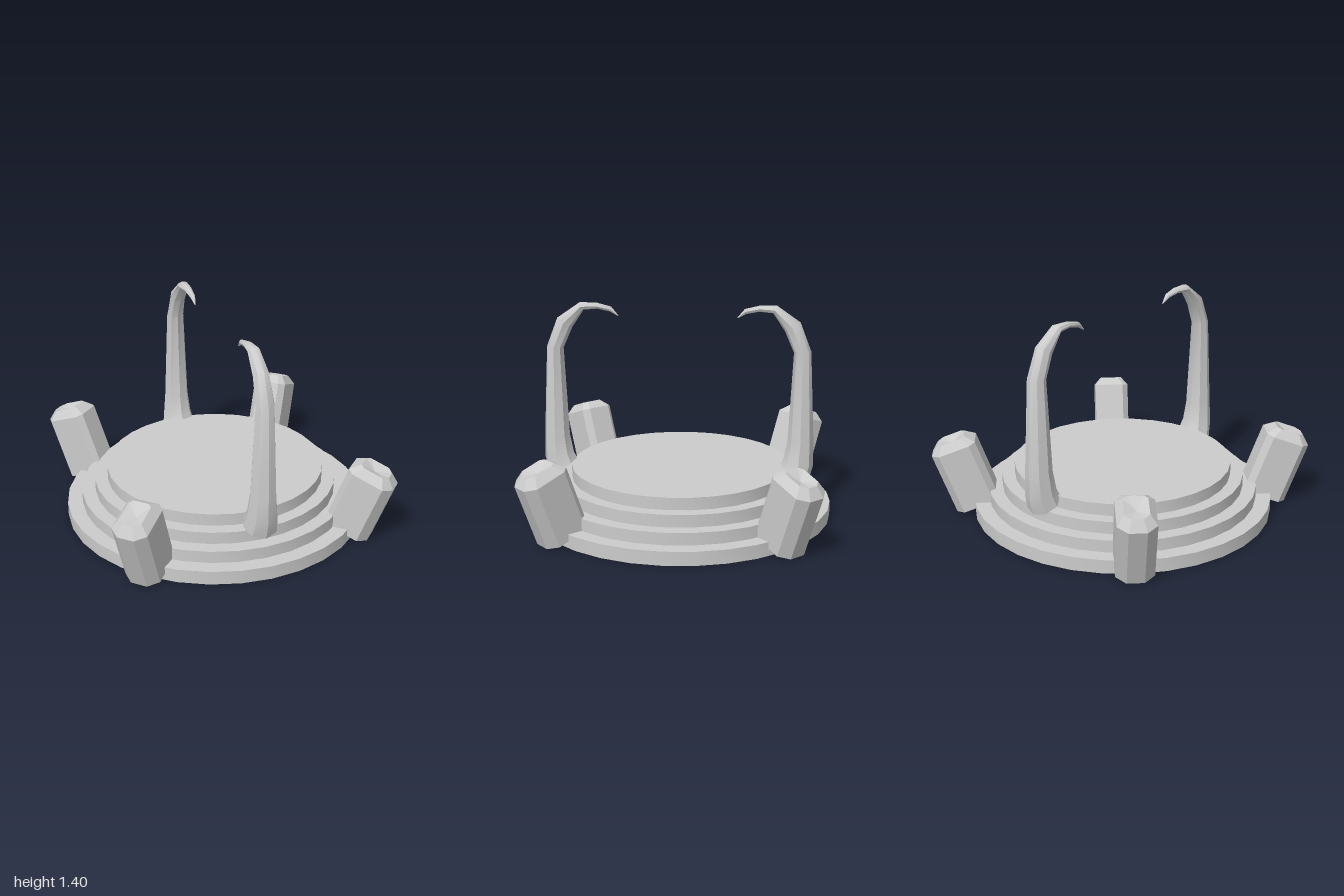
import * as THREE from 'three';
import { toCreasedNormals } from 'three/addons/utils/BufferGeometryUtils.js';

// Skin a list of equal-length closed rings (counter-clockwise seen from the last ring)
function loft(rings) {
  const n = rings[0].length;
  const index = [];
  for (let i = 0; i < rings.length - 1; i++) {
    for (let j = 0; j < n; j++) {
      const k = (j + 1) % n;
      const a = i * n + j, b = i * n + k, c = a + n, d = b + n;
      index.push(a, b, d, a, d, c);
    }
  }
  const geometry = new THREE.BufferGeometry();
  geometry.setAttribute('position', new THREE.Float32BufferAttribute(rings.flat(2), 3));
  geometry.setIndex(index);
  geometry.computeVertexNormals();
  return geometry;
}

// Hollow stepped disc
function baseGeometry() {
  const radii = [1, 0.9, 0.81, 0.725];
  const heights = [0, 0.09, 0.17, 0.25, 0.33];
  const profile = [];
  radii.forEach((r, i) => {
    profile.push(new THREE.Vector2(r, heights[i]), new THREE.Vector2(r, heights[i + 1]));
  });
  profile.push(new THREE.Vector2(0, 0.33));
  return toCreasedNormals(new THREE.LatheGeometry(profile, 32), 0.6);
}

// Chamfered block, open below, with a bevelled and slightly dished top
function pillarGeometry() {
  const section = [
    [0.055, 0.155], [0.12, 0.1], [0.12, -0.11], [0.08, -0.15],
    [-0.08, -0.15], [-0.12, -0.11], [-0.12, 0.1], [-0.055, 0.155],
  ];
  const levels = [[0, 1], [0.43, 1], [0.485, 0.62], [0.455, 0]]; // height, scale
  return loft(levels.map(([h, s]) => section.map(([x, z]) => [x * s, h, z * s])));
}

// Curved, tapering horn that hooks inward
function hornGeometry() {
  // z, y, half width, half depth, direction of the outer side in degrees
  const sections = [
    [0.8, 0.28, 0.115, 0.11, -30],
    [0.825, 0.36, 0.1, 0.1, -12],
    [0.835, 0.5, 0.085, 0.085, 0],
    [0.833, 1.1, 0.06, 0.056, 4],
    [0.765, 1.265, 0.052, 0.058, 30],
    [0.65, 1.375, 0.04, 0.028, 65],
    [0.55, 1.378, 0.028, 0.02, 92],
    [0.46, 1.358, 0.018, 0.017, 105],
    [0.41, 1.315, 0.003, 0.003, 130],
  ];
  return loft(sections.map(([z, y, w, d, deg]) => {
    const phi = THREE.MathUtils.degToRad(deg);
    return Array.from({ length: 8 }, (_, j) => {
      const a = (j / 8) * Math.PI * 2;
      const out = Math.cos(a) * d;
      return [Math.sin(a) * w, y + out * Math.sin(phi), z + out * Math.cos(phi)];
    });
  }));
}

export function createModel() {
  const group = new THREE.Group();
  const smooth = new THREE.MeshStandardMaterial({ color: 0xcccccc, side: THREE.DoubleSide });
  const faceted = new THREE.MeshStandardMaterial({ color: 0xcccccc, side: THREE.DoubleSide, flatShading: true });

  const base = new THREE.Mesh(baseGeometry(), smooth);
  base.name = 'steppedBase';
  group.add(base);

  // Four pillars on the diagonals, leaning outward
  const pillarShape = pillarGeometry();
  ['frontLeft', 'backLeft', 'backRight', 'frontRight'].forEach((name, i) => {
    const arm = new THREE.Group();
    arm.name = name + 'Pillar';
    arm.position.z = -0.01;
    arm.rotation.y = Math.PI / 4 + i * Math.PI / 2;
    const pillar = new THREE.Mesh(pillarShape, faceted);
    pillar.name = name + 'PillarBlock';
    pillar.position.set(0, 0.055, 0.965);
    pillar.rotation.x = THREE.MathUtils.degToRad(20);
    arm.add(pillar);
    group.add(arm);
  });

  // Two facing horns
  const hornShape = toCreasedNormals(hornGeometry(), 0.7);
  ['frontHorn', 'backHorn'].forEach((name, i) => {
    const horn = new THREE.Mesh(hornShape, smooth);
    horn.name = name;
    horn.rotation.y = i * Math.PI;
    horn.position.z = i * 0.04;
    group.add(horn);
  });

  return group;
}
